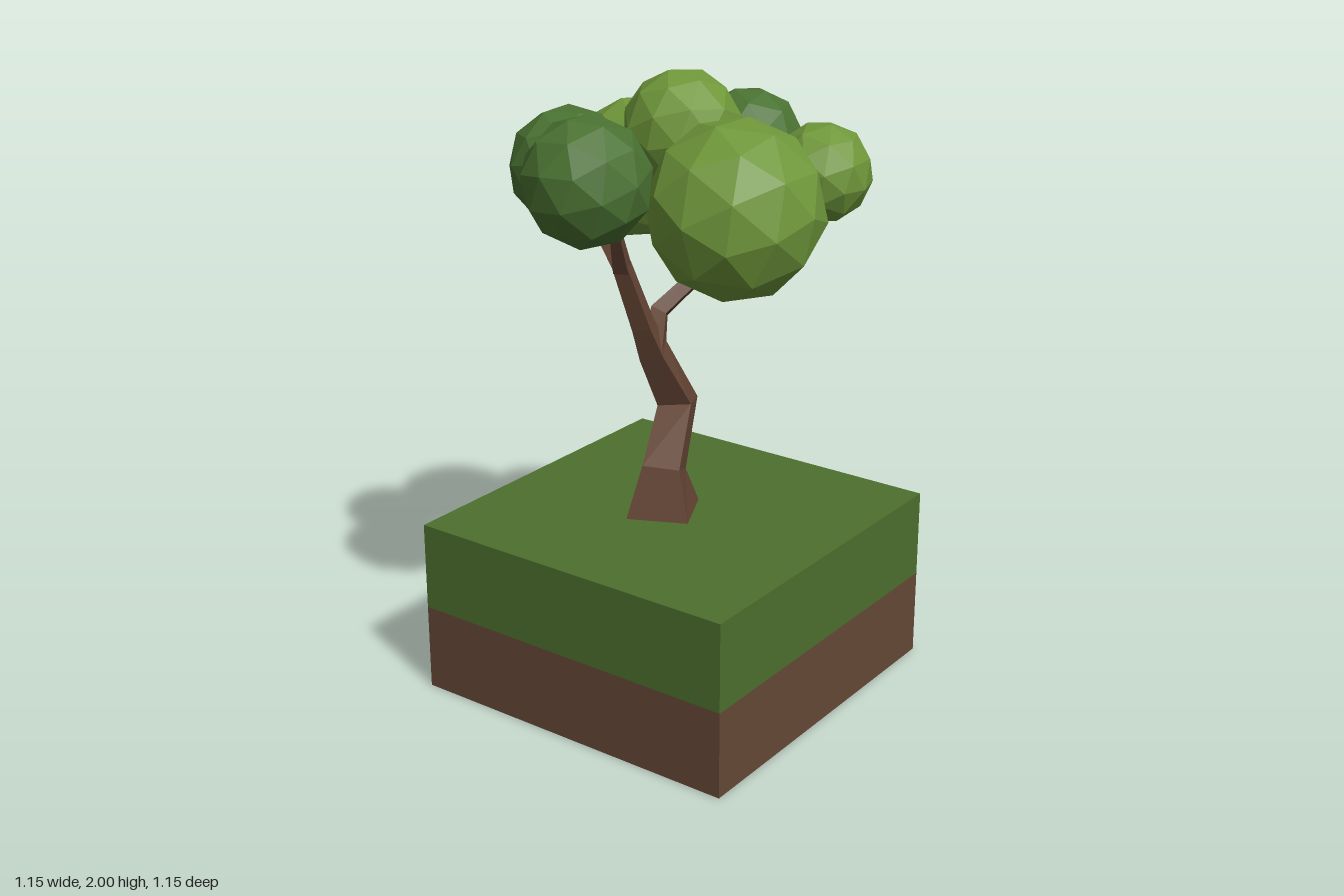
import * as THREE from 'three';

const material = (name, color) => {
  const m = new THREE.MeshStandardMaterial({ color, flatShading: true });
  m.name = name;
  return m;
};

// Four-sided limb: each node is [x, y, z, radius]; rings follow the path direction
function limbGeometry(nodes, sides = 4, turn = 0.35) {
  const pts = nodes.map(n => new THREE.Vector3(n[0], n[1], n[2]));
  const up = new THREE.Vector3(0, 1, 0);
  const pos = [], index = [];
  nodes.forEach((n, k) => {
    const dir = new THREE.Vector3();
    if (k > 0) dir.add(pts[k].clone().sub(pts[k - 1]).normalize());
    if (k < pts.length - 1) dir.add(pts[k + 1].clone().sub(pts[k]).normalize());
    const q = new THREE.Quaternion().setFromUnitVectors(up, dir.normalize());
    for (let i = 0; i < sides; i++) {
      const a = turn + (i / sides) * Math.PI * 2;
      const v = new THREE.Vector3(Math.cos(a) * n[3], 0, Math.sin(a) * n[3]);
      pos.push(...v.applyQuaternion(q).add(pts[k]).toArray());
      if (k > 0) {
        const j = (i + 1) % sides, lo = (k - 1) * sides, hi = k * sides;
        index.push(lo + i, hi + i, lo + j, lo + j, hi + i, hi + j);
      }
    }
  });
  // Close the tip
  const top = (nodes.length - 1) * sides;
  for (let i = 1; i < sides - 1; i++) index.push(top, top + i + 1, top + i);
  const g = new THREE.BufferGeometry();
  g.setAttribute('position', new THREE.Float32BufferAttribute(pos, 3));
  g.setIndex(index);
  const flat = g.toNonIndexed();
  flat.computeVertexNormals();
  return flat;
}

export function createModel() {
  const tree = new THREE.Group();
  tree.name = 'treeOnBlock';
  const soil = material('soil brown', 0x664836);
  const grass = material('grass green', 0x4d6f2e);
  const bark = material('bark brown', 0x644534);
  const light = material('light leaf green', 0x6f973a);
  const dark = material('dark leaf green', 0x4a7232);

  const add = (name, geometry, mat, x = 0, y = 0, z = 0) => {
    const mesh = new THREE.Mesh(geometry, mat);
    mesh.name = name;
    mesh.position.set(x, y, z);
    tree.add(mesh);
    return mesh;
  };

  // Ground block: soil below, grass above
  add('soilBlock', new THREE.BoxGeometry(1.15, 0.285, 1.15), soil, 0, 0.1425, 0);
  add('grassBlock', new THREE.BoxGeometry(1.15, 0.29, 1.15), grass, 0, 0.43, 0);

  // Bent trunk and its branches
  const limbs = {
    trunk: [[-0.025, 0.57, -0.035, 0.142], [-0.02, 0.72, -0.035, 0.085], [0.108, 0.9, -0.075, 0.078],
      [0.0, 1.1, -0.093, 0.055], [-0.05, 1.2, -0.095, 0.042], [-0.135, 1.41, -0.11, 0.034]],
    rightBranch: [[0.0, 1.1, -0.093, 0.05], [0.045, 1.22, -0.1, 0.037], [0.27, 1.42, 0.03, 0.026]],
    rightBackTwig: [[0.26, 1.41, 0.025, 0.027], [0.27, 1.54, 0.02, 0.017], [0.32, 1.66, 0.015, 0.012]],
    rightFrontTwig: [[0.26, 1.41, 0.025, 0.027], [0.3, 1.52, 0.18, 0.017], [0.37, 1.62, 0.26, 0.012]],
    leftTwig: [[-0.133, 1.4, -0.11, 0.034], [-0.21, 1.54, -0.075, 0.022], [-0.32, 1.68, -0.07, 0.014]],
    backTwig: [[-0.133, 1.4, -0.11, 0.032], [-0.13, 1.51, -0.2, 0.02], [-0.12, 1.64, -0.31, 0.014]],
  };
  for (const [name, nodes] of Object.entries(limbs)) add(name, limbGeometry(nodes), bark);

  // Faceted leaf clusters: name, material, x, y, z, radius
  const clusters = [
    ['frontLeaves', light, -0.05, 1.627, 0.253, 0.276],
    ['leftLeaves', dark, -0.345, 1.723, -0.072, 0.2],
    ['backLeaves', dark, -0.122, 1.69, -0.323, 0.189],
    ['backRightLeaves', light, 0.18, 1.635, -0.273, 0.228],
    ['topLeaves', light, 0.055, 1.817, -0.018, 0.185],
    ['rightLeaves', dark, 0.37, 1.717, 0.013, 0.178],
    ['frontRightLeaves', light, 0.388, 1.656, 0.278, 0.16],
  ];
  clusters.forEach(([name, mat, x, y, z, r], i) => {
    const ball = add(name, new THREE.IcosahedronGeometry(r, 1), mat, x, y, z);
    ball.rotation.set(0.5 + i * 0.7, i * 1.3, 0.3 * i);
  });
  return tree;
}
